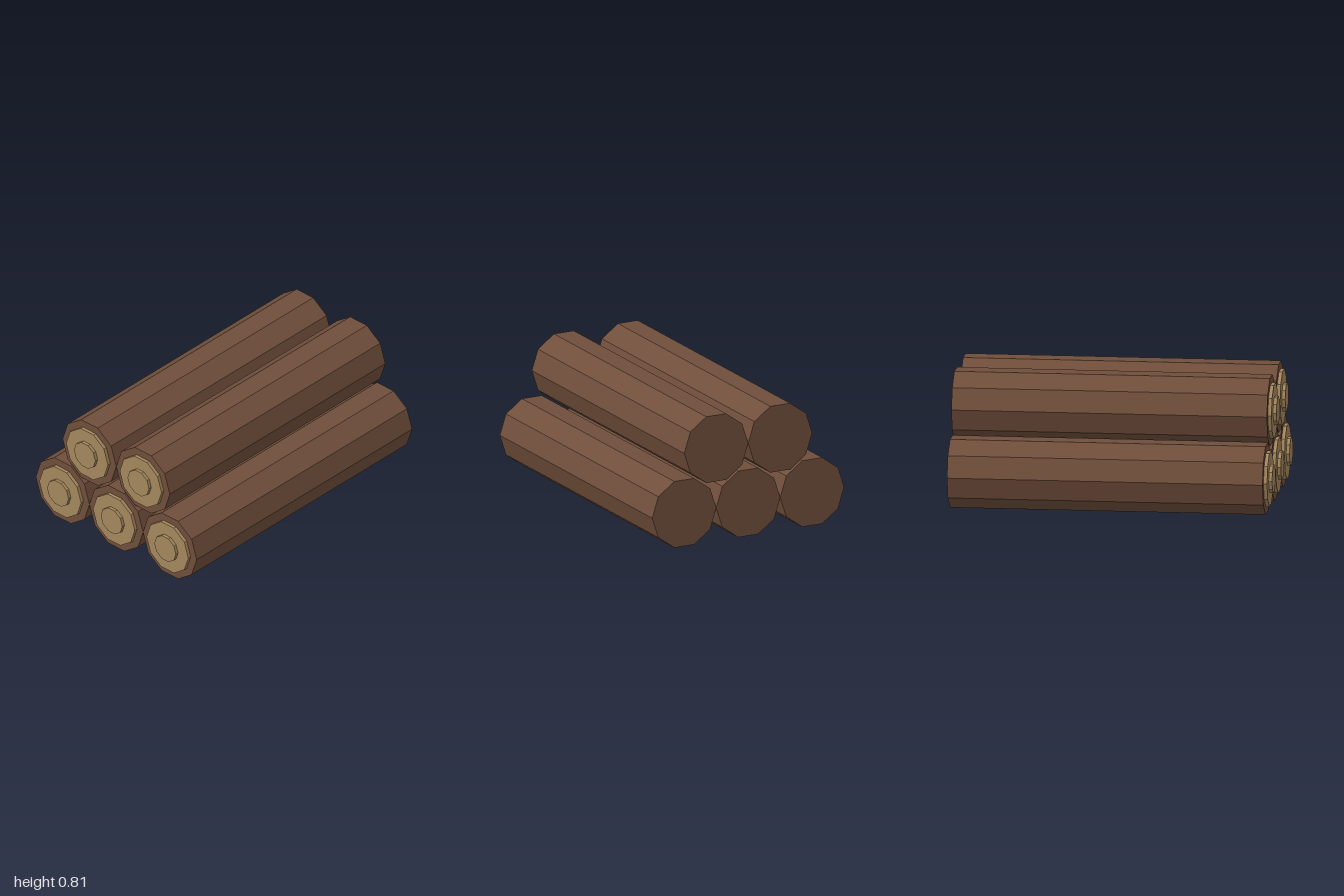
import * as THREE from 'three';

const SIDES = 10;
const RADIUS = 0.2245;

// Ten-sided prism along z, with corners on the left and right and flats on top and bottom
function prism(radius, back, front) {
  const g = new THREE.CylinderGeometry(radius, radius, front - back, SIDES, 1, false, Math.PI / 2);
  g.rotateX(Math.PI / 2);
  g.translate(0, 0, (front + back) / 2);
  return g;
}

export function createModel() {
  const bark = new THREE.MeshStandardMaterial({ color: 0x704f3b, flatShading: true });
  bark.name = 'bark brown';
  const wood = new THREE.MeshStandardMaterial({ color: 0xa5875d, flatShading: true });
  wood.name = 'cut wood tan';

  // Each log: bark body, then two stepped discs on the front end
  const parts = [
    ['barkBody', prism(RADIUS, -1, 0.957), bark],
    ['cutEnd', prism(0.175, 0.95, 0.979), wood],
    ['heartwood', prism(0.09, 0.97, 1), wood],
  ];

  const model = new THREE.Group();
  model.name = 'logPile';

  // Rows of the pile: number of logs and height of their centres
  for (const [row, count, y] of [['lower', 3, 0.219], ['upper', 2, 0.603]]) {
    for (let i = 0; i < count; i++) {
      const log = new THREE.Group();
      log.name = `${row}Log${i + 1}`;
      for (const [name, geometry, material] of parts) {
        const mesh = new THREE.Mesh(geometry, material);
        mesh.name = name;
        log.add(mesh);
      }
      log.position.set((i - (count - 1) / 2) * RADIUS * 2, y, 0);
      model.add(log);
    }
  }
  return model;
}
